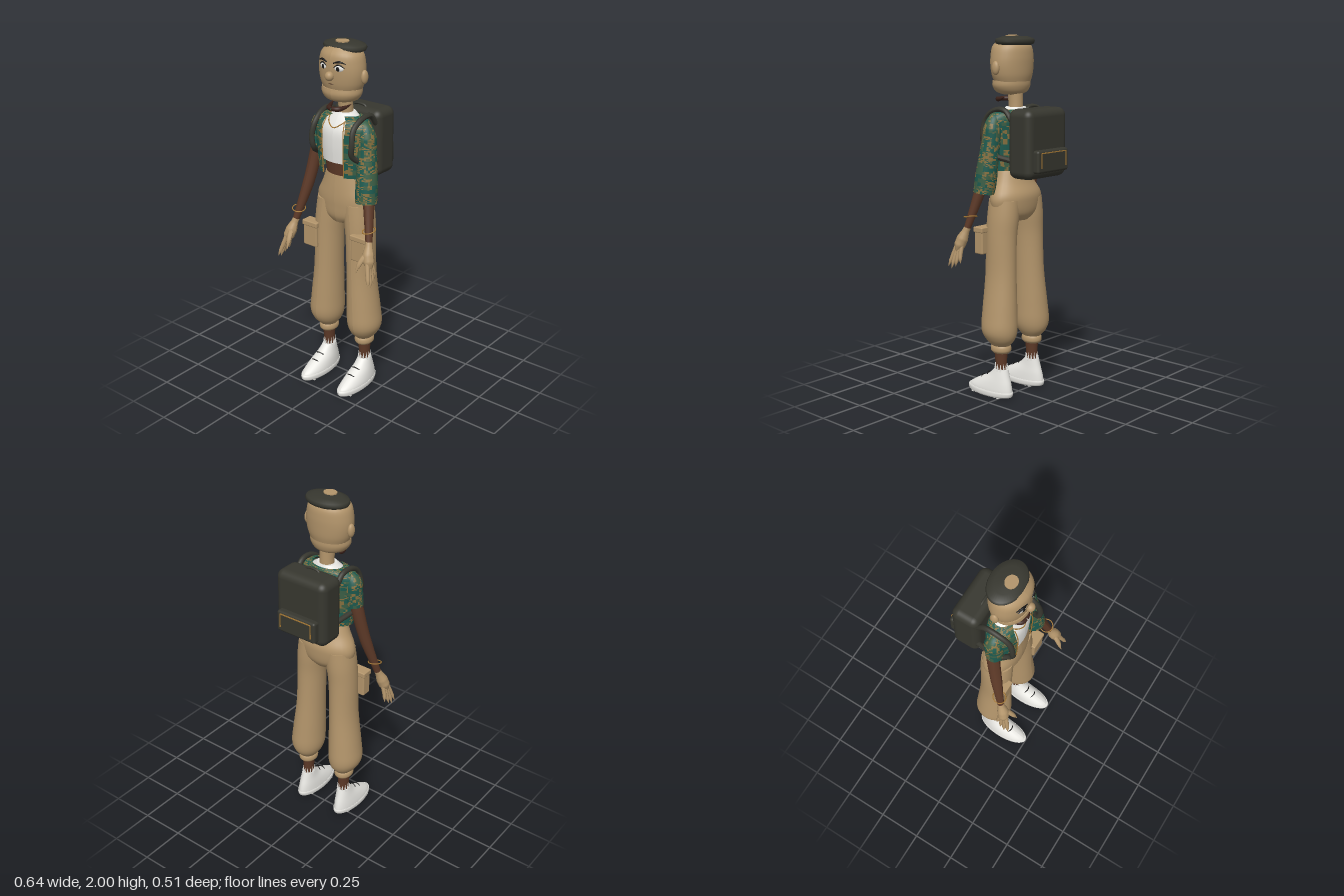
import * as THREE from 'three';
import { RoundedBoxGeometry } from 'three/addons/geometries/RoundedBoxGeometry.js';

const mat = (name, color, side = THREE.FrontSide) => {
  const m = new THREE.MeshStandardMaterial({ color, side });
  m.name = name;
  return m;
};
const tan = mat('tan', 0xb3956b), brown = mat('brown', 0x5e3a28), charcoal = mat('charcoal', 0x37372f);
const white = mat('white', 0xf0efea), gold = mat('gold', 0xa87a35), black = mat('black', 0x171615);
const hair = mat('dark brown', 0x3c221a);
const teal = mat('teal', 0x1d5a4f, THREE.DoubleSide), green = mat('green', 0x3c5f46, THREE.DoubleSide);
const ochre = mat('ochre', 0x86703f, THREE.DoubleSide);
const cloth = [teal, green, ochre];

const vec = (a) => new THREE.Vector3(...a);
const cubic = (a, b, c, d, t) => b + 0.5 * t * (c - a + t * (2 * a - 5 * b + 4 * c - d + t * (3 * (b - c) + d - a)));

// Smooth skin through elliptical rings [y, cx, cz, rx, rz], listed from low to high
function loft(rings, { n = 32, sub = 5, a0 = 0, a1 = Math.PI * 2, cap = true, e = 1 } = {}) {
  const pos = [], idx = [], rows = [], w = n + 1;
  const at = (i) => rings[Math.min(Math.max(i, 0), rings.length - 1)];
  for (let i = 0; i < rings.length - 1; i++)
    for (let k = 0; k < sub; k++)
      rows.push(at(i).map((_, c) => cubic(at(i - 1)[c], at(i)[c], at(i + 1)[c], at(i + 2)[c], k / sub)));
  rows.push(at(rings.length));
  const p = (v) => Math.sign(v) * Math.abs(v) ** e;
  const ring = ([y, cx, cz, rx, rz]) => {
    for (let j = 0; j <= n; j++) {
      const t = a0 + (a1 - a0) * j / n;
      pos.push(cx + rx * p(Math.sin(t)), y, cz + rz * p(Math.cos(t)));
    }
  };
  rows.forEach(ring);
  for (let i = 0; i < rows.length - 1; i++)
    for (let j = 0; j < n; j++) {
      const a = i * w + j;
      idx.push(a, a + 1, a + w + 1, a, a + w + 1, a + w);
    }
  if (cap) for (const [r, up] of [[rows[0], 0], [rows.at(-1), 1]]) {
    const s = pos.length / 3;
    ring(r);
    pos.push(r[1], r[0], r[2]);
    for (let j = 0; j < n; j++) idx.push(s + w, s + j + (up ? 0 : 1), s + j + (up ? 1 : 0));
  }
  const g = new THREE.BufferGeometry();
  g.setAttribute('position', new THREE.Float32BufferAttribute(pos, 3));
  g.setIndex(idx);
  g.computeVertexNormals();
  return g;
}

// Tube whose radius follows a list
function sweep(pts, radii, seg = 20, n = 12) {
  const curve = new THREE.CatmullRomCurve3(pts.map(vec));
  const g = new THREE.TubeGeometry(curve, seg, 1, n, false), P = g.attributes.position, v = new THREE.Vector3();
  for (let i = 0; i <= seg; i++) {
    const c = curve.getPointAt(i / seg), f = i / seg * (radii.length - 1), k = Math.min(Math.floor(f), radii.length - 2);
    const r = THREE.MathUtils.lerp(radii[k], radii[k + 1], f - k);
    for (let j = 0; j <= n; j++) {
      const q = i * (n + 1) + j;
      v.fromBufferAttribute(P, q).sub(c).multiplyScalar(r).add(c);
      P.setXYZ(q, v.x, v.y, v.z);
    }
  }
  g.computeVertexNormals();
  return g;
}

// Sort the quads of a grid into woven colour patches
function weave(g, n) {
  const src = g.index.array, buckets = [[], [], []];
  const hash = (a, b) => { const s = Math.sin(a * 12.9898 + b * 78.233) * 43758.5453; return s - Math.floor(s); };
  for (let q = 0; q < src.length / 6; q++) {
    const r = Math.floor(q / n), c = q % n, patch = hash(r >> 2, c >> 2), fleck = hash(r, c >> 1);
    const k = patch > 0.5 && fleck > 0.45 ? 2 : hash((r >> 2) + 31, (c >> 2) + 7) > 0.6 ? 1 : 0;
    buckets[k].push(...src.slice(q * 6, q * 6 + 6));
  }
  g.setIndex(buckets.flat());
  let start = 0;
  buckets.forEach((b, i) => { g.addGroup(start, b.length, i); start += b.length; });
  return g;
}

export function createModel() {
  const model = new THREE.Group();
  const add = (name, g, m, p = [0, 0, 0], r = [0, 0, 0], s = [1, 1, 1]) => {
    const mesh = new THREE.Mesh(g, m);
    mesh.name = name;
    mesh.position.set(...p); mesh.rotation.set(...r); mesh.scale.set(...s);
    model.add(mesh);
    return mesh;
  };
  const ball = new THREE.SphereGeometry(1, 24, 16);
  const box = (x, y, z) => new THREE.BoxGeometry(x, y, z);

  // Head, jaw and neck
  add('head', loft([[1.755, 0, 0.045, 0.112, 0.088], [1.79, 0, 0.046, 0.126, 0.097], [1.84, 0, 0.047, 0.134, 0.102],
    [1.89, 0, 0.047, 0.131, 0.103], [1.94, 0, 0.047, 0.117, 0.097], [1.975, 0, 0.047, 0.08, 0.07]]), tan);
  add('jaw', loft([[1.683, 0, 0.045, 0.05, 0.045], [1.698, 0, 0.05, 0.092, 0.078], [1.73, 0, 0.052, 0.114, 0.093],
    [1.76, 0, 0.05, 0.114, 0.092]]), tan);
  add('neck', loft([[1.56, 0, 0.02, 0.055, 0.045], [1.61, 0, 0.02, 0.04, 0.04], [1.7, 0, 0.024, 0.04, 0.042]]), tan);
  add('nose', ball, tan, [0, 1.833, 0.155], [0, 0, 0], [0.024, 0.025, 0.024]);
  add('mouth', sweep([[-0.025, 1.785, 0.138], [0, 1.79, 0.143], [0.025, 1.785, 0.138]], [0.001, 0.002, 0.001]), hair);

  // Flat cap with a round opening on top
  const capProfile = [[0, 1.95], [0.1, 1.947], [0.12, 1.955], [0.127, 1.968], [0.12, 1.981], [0.08, 1.993], [0, 1.996]];
  add('cap', new THREE.LatheGeometry(capProfile.map((p) => new THREE.Vector2(...p)), 40), charcoal, [0, 0, 0.026], [0, 0, 0], [1, 1, 0.71]);
  add('capOpening', new THREE.CylinderGeometry(0.037, 0.037, 0.006, 28), tan, [0, 1.997, 0.048], [0, 0, 0], [1, 1, 0.88]);

  for (const s of [1, -1]) {
    const m = (pts) => pts.map(([x, y, z]) => [x * s, y, z]);
    // Face
    add('ear', ball, tan, [0.138 * s, 1.828, 0.04], [0, 0, 0], [0.017, 0.037, 0.023]);
    add('eye', ball, white, [0.05 * s, 1.878, 0.137], [0, 0.28 * s, 0], [0.027, 0.018, 0.01]);
    add('pupil', ball, black, [0.048 * s, 1.876, 0.146], [0, 0.28 * s, 0], [0.01, 0.012, 0.004]);
    add('eyelid', sweep(m([[0.022, 1.88, 0.147], [0.05, 1.898, 0.145], [0.08, 1.882, 0.132]]), [0.002, 0.004, 0.002]), black);
    add('eyebrow', sweep(m([[0.02, 1.903, 0.148], [0.055, 1.913, 0.143], [0.085, 1.903, 0.127]]), [0.003, 0.006, 0.002]), black);
    add('goatee', sweep(m([[0, 1.655, 0.135], [0.025, 1.655, 0.128], [0.045, 1.658, 0.095], [0.06, 1.67, 0.048]]), [0.012, 0.014, 0.009, 0.001]), hair);

    // Arms and bracelets
    add('arm', sweep(m([[0.145, 1.55, 0.04], [0.173, 1.4, 0.05], [0.205, 1.2, 0.085], [0.255, 0.97, 0.145]]), [0.035, 0.035, 0.031, 0.019]), brown);
    add('bracelet', new THREE.TorusGeometry(0.036, 0.003, 8, 32), gold, [0.245 * s, 1.03, 0.132], [Math.PI / 2 + 0.2, 0.15 * s, 0]);

    // Hands
    add('palm', sweep(m([[0.25, 0.985, 0.14], [0.26, 0.95, 0.153], [0.272, 0.9, 0.172], [0.288, 0.85, 0.185], [0.292, 0.83, 0.188]]),
      [0.017, 0.021, 0.032, 0.031, 0.008]), tan);
    [[0.318, 0.752, 0.232], [0.32, 0.742, 0.207], [0.315, 0.757, 0.18], [0.306, 0.777, 0.152]].forEach(([x, y, z], i) =>
      add('finger', sweep(m([[0.283, 0.875, 0.197 - i * 0.012], [0.298, 0.82, 0.213 - i * 0.018], [x, y, z]]), [0.012, 0.012, 0.0115, 0.01, 0.001], 12, 8), tan));
    add('thumb', sweep(m([[0.265, 0.92, 0.17], [0.25, 0.875, 0.213], [0.24, 0.82, 0.243]]), [0.015, 0.015, 0.012, 0.001], 12, 8), tan);

    // Trouser legs, cuffs and ankles
    add('trouserLeg', loft([[0.305, 0.13 * s, 0.015, 0.047, 0.055], [0.345, 0.133 * s, 0.018, 0.077, 0.09], [0.4, 0.135 * s, 0.022, 0.094, 0.106],
      [0.5, 0.129 * s, 0.024, 0.09, 0.103], [0.7, 0.116 * s, 0.027, 0.078, 0.093], [0.9, 0.11 * s, 0.028, 0.079, 0.09],
      [1.02, 0.1 * s, 0.024, 0.083, 0.092], [1.12, 0.088 * s, 0.022, 0.082, 0.09]]), tan);
    add('cuff', loft([[0.262, 0.13 * s, 0.015, 0.042, 0.05], [0.275, 0.13 * s, 0.015, 0.052, 0.06], [0.295, 0.13 * s, 0.015, 0.052, 0.06], [0.31, 0.13 * s, 0.015, 0.044, 0.052]]), tan);
    add('ankle', loft([[0.13, 0.13 * s, 0.012, 0.03, 0.034], [0.2, 0.13 * s, 0.014, 0.03, 0.034], [0.29, 0.13 * s, 0.015, 0.036, 0.042]]), brown);

    // Cargo pockets
    add('cargoPocket', new RoundedBoxGeometry(0.095, 0.14, 0.06, 2, 0.008), tan, [0.168 * s, 0.89, 0.103]);
    add('pocketFlap', new RoundedBoxGeometry(0.104, 0.03, 0.068, 2, 0.006), tan, [0.168 * s, 0.955, 0.104]);

    // Shoes
    add('shoe', loft([[0.025, 0.134 * s, 0.092, 0.06, 0.158], [0.05, 0.134 * s, 0.085, 0.059, 0.148], [0.085, 0.133 * s, 0.06, 0.053, 0.115],
      [0.125, 0.132 * s, 0.028, 0.043, 0.07], [0.165, 0.13 * s, 0.012, 0.035, 0.042]]), white);
    add('sole', loft([[0.004, 0.134 * s, 0.1, 0.054, 0.14], [0.012, 0.134 * s, 0.094, 0.061, 0.156], [0.03, 0.134 * s, 0.092, 0.063, 0.162], [0.04, 0.134 * s, 0.09, 0.061, 0.158]]), white);
    for (let i = 0; i < 8; i++) add('tread', box(0.085, 0.006, 0.016), white, [0.134 * s, 0.003, 0.005 + i * 0.027]);
    for (let i = 0; i < 12; i++) {
      const a = i / 12 * Math.PI * 2;
      add('sockPoint', new THREE.ConeGeometry(0.009, 0.05, 4), white, [(0.13 + 0.031 * Math.sin(a)) * s, 0.18, 0.013 + 0.036 * Math.cos(a)]);
    }
    [0.125, 0.098].forEach((y, i) => {
      const z = 0.105 + i * 0.045;
      add('lace', sweep(m([[0.108, y - 0.006, z - 0.008], [0.133, y + 0.004, z], [0.158, y - 0.006, z - 0.008]]), [0.003, 0.003], 8, 6), black);
    });

    // Pack straps
    add('strap', sweep(m([[0.13, 1.55, -0.07], [0.132, 1.605, -0.02], [0.132, 1.605, 0.05], [0.128, 1.56, 0.118], [0.135, 1.48, 0.142],
      [0.13, 1.42, 0.135], [0.155, 1.37, 0.06], [0.135, 1.34, -0.07]]), [0.015, 0.015], 48, 10), charcoal);
    // Jacket trim
    add('jacketTrim', sweep(m([[0.062, 1.59, 0.108], [0.07, 1.54, 0.131], [0.071, 1.42, 0.133], [0.069, 1.285, 0.126]]), [0.003, 0.003], 24, 6), gold);
  }

  // Hips, midriff and shirt
  add('hips', loft([[1.0, 0, 0.025, 0.07, 0.07], [1.04, 0, 0.022, 0.15, 0.092], [1.1, 0, 0.02, 0.178, 0.1], [1.15, 0, 0.022, 0.172, 0.1],
    [1.21, 0, 0.034, 0.136, 0.085], [1.28, 0, 0.042, 0.106, 0.07]]), tan);
  add('midriff', loft([[1.27, 0, 0.042, 0.1, 0.066], [1.32, 0, 0.043, 0.105, 0.07], [1.38, 0, 0.045, 0.115, 0.075]]), brown);
  add('shirt', loft([[1.355, 0, 0.045, 0.122, 0.083], [1.45, 0, 0.045, 0.135, 0.088], [1.53, 0, 0.042, 0.14, 0.086],
    [1.585, 0, 0.03, 0.1, 0.07], [1.618, 0, 0.022, 0.055, 0.052]]), white);
  add('necklace', sweep([[-0.065, 1.6, 0.07], [-0.045, 1.575, 0.108], [0, 1.55, 0.128], [0.045, 1.575, 0.108], [0.065, 1.6, 0.07]], [0.003, 0.003], 30, 6), gold);

  // Open jacket with one short and one long sleeve
  add('jacket', weave(loft([[1.28, 0, 0.042, 0.15, 0.089], [1.38, 0, 0.044, 0.16, 0.094], [1.48, 0, 0.045, 0.17, 0.096],
    [1.55, 0, 0.042, 0.178, 0.092], [1.59, 0, 0.034, 0.15, 0.078], [1.608, 0, 0.026, 0.09, 0.06]],
  { n: 112, sub: 14, a0: 0.44, a1: Math.PI * 2 - 0.44, cap: false }), 112), cloth);
  add('shortSleeve', weave(sweep([[-0.115, 1.575, 0.04], [-0.15, 1.545, 0.042], [-0.155, 1.48, 0.046], [-0.162, 1.4, 0.052]],
    [0.028, 0.05, 0.05, 0.046], 40, 64), 64), cloth);
  add('longSleeve', weave(sweep([[0.115, 1.575, 0.04], [0.15, 1.545, 0.042], [0.162, 1.45, 0.048], [0.178, 1.3, 0.066], [0.187, 1.16, 0.083]],
    [0.028, 0.052, 0.053, 0.056, 0.06, 0.06], 84, 64), 64), cloth);

  // Backpack
  add('backpack', new RoundedBoxGeometry(0.32, 0.372, 0.16, 5, 0.042), charcoal, [0, 1.433, -0.136]);
  add('packPocket', new RoundedBoxGeometry(0.25, 0.122, 0.07, 4, 0.014), charcoal, [0, 1.345, -0.215]);
  add('packZip', box(0.2, 0.005, 0.006), gold, [0, 1.392, -0.251]);
  for (const x of [-0.1, 0.1]) add('packZipSide', box(0.004, 0.08, 0.006), gold, [x, 1.352, -0.251]);
  add('packHandle', sweep([[-0.05, 1.6, -0.1], [-0.035, 1.622, -0.1], [0.035, 1.622, -0.1], [0.05, 1.6, -0.1]], [0.007, 0.007], 20, 8), charcoal);

  return model;
}
